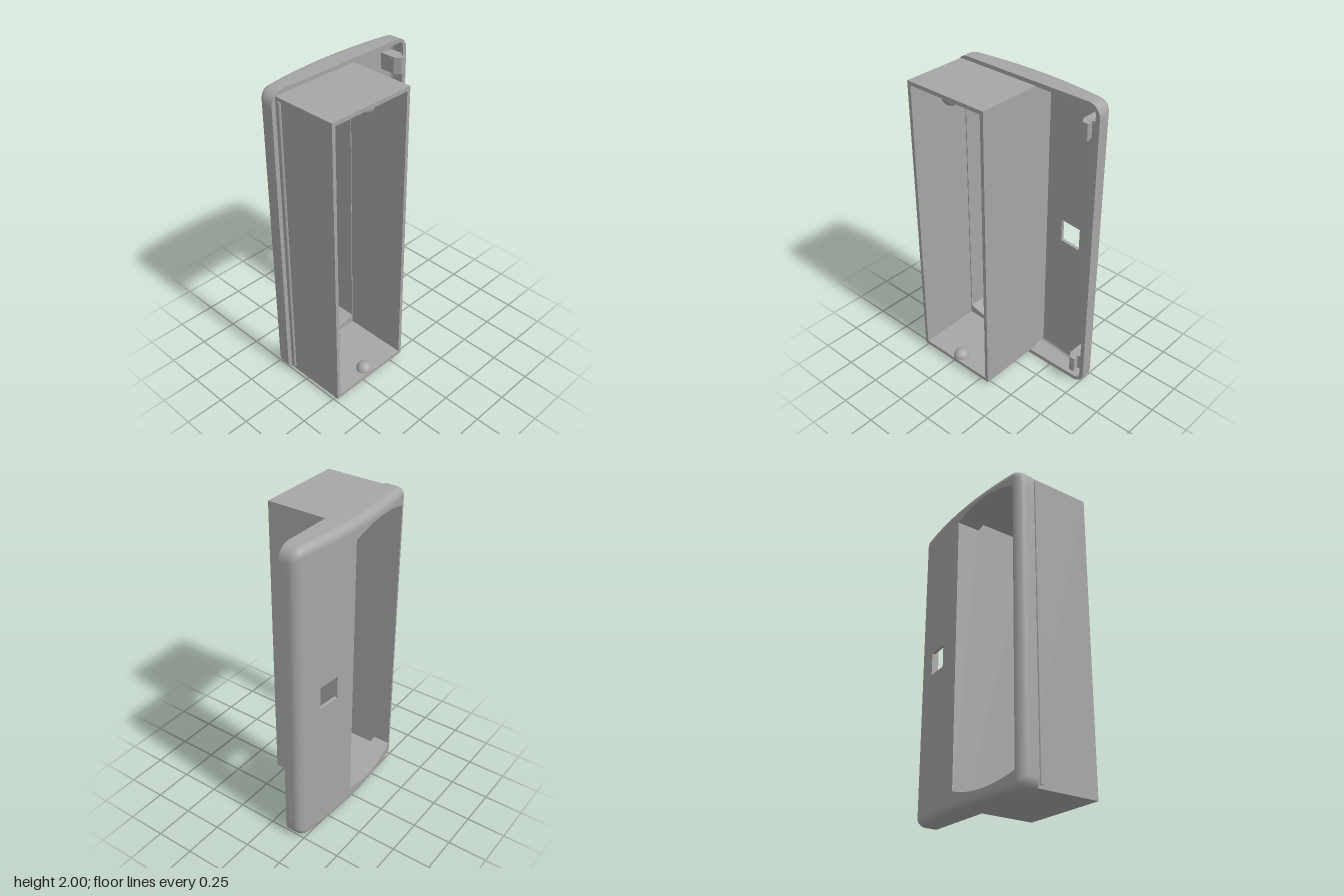
import * as THREE from 'three';
import { mergeGeometries, toCreasedNormals } from 'three/addons/utils/BufferGeometryUtils.js';

const HALF_W = 0.528, RIM_Z = -0.135, SKIN = 0.022, FILLET = 0.05;
const arc = x => -0.292 + 0.042 * (x / 0.49) ** 2; // curved back of the plate

// Rounded rectangle loop, inset by d, counter-clockwise from the front
function loop(d) {
  const r = Math.max(0, 0.08 - 1.6 * d), w = HALF_W - d, h = 1 - d, pts = [];
  const corners = [[1, -1], [1, 1], [-1, 1], [-1, -1]];
  corners.forEach(([sx, sy], k) => {
    const cx = sx * (w - r), cy = sy * (h - r);
    for (let i = 0; i <= 8; i++) {
      const a = (k - 1 + i / 8) * Math.PI / 2;
      pts.push([cx + r * Math.cos(a), 1 + cy + r * Math.sin(a)]);
    }
    const [nx, ny] = corners[(k + 1) % 4];
    const [px, py] = pts[pts.length - 1];
    const end = (k + 1) * Math.PI / 2 - Math.PI / 2;
    const qx = nx * (w - r) + r * Math.cos(end), qy = 1 + ny * (h - r) + r * Math.sin(end);
    for (let i = 1; i < 20; i++) pts.push([px + (qx - px) * i / 20, py + (qy - py) * i / 20]);
  });
  return pts;
}

// Rim swept from the inner skin, over the front lip, to the filleted back
function rimGeometry() {
  const stations = [];
  for (let i = 0; i <= 5; i++) {
    const a = i / 5 * Math.PI / 2;
    stations.push([0.05 - 0.022 * Math.sin(a), x => arc(x) + SKIN + 0.022 * (1 - Math.cos(a))]);
  }
  stations.push([0.028, () => RIM_Z], [0, () => RIM_Z]);
  for (let i = 0; i <= 8; i++) {
    const a = i / 8 * Math.PI / 2;
    stations.push([FILLET * (1 - Math.cos(a)), x => arc(x) + FILLET * (1 - Math.sin(a))]);
  }
  const pos = [], idx = [];
  let n = 0;
  stations.forEach(([d, z], j) => {
    const pts = loop(d);
    n = pts.length;
    pts.forEach(([x, y]) => pos.push(x, y, z(x)));
    if (j === 0) return;
    for (let i = 0; i < n; i++) {
      const a = (j - 1) * n + i, b = (j - 1) * n + (i + 1) % n, c = a + n, e = b + n;
      idx.push(a, c, b, b, c, e);
    }
  });
  const g = new THREE.BufferGeometry();
  g.setAttribute('position', new THREE.Float32BufferAttribute(pos, 3));
  g.setIndex(idx);
  return toCreasedNormals(g, 0.6);
}

// Slab between x0 and x1 whose back follows the arc
function panel(x0, x1, lo, hi, front, n = 8) {
  const g = new THREE.BoxGeometry(1, 1, 1, n, 1, 1), p = g.attributes.position;
  for (let i = 0; i < p.count; i++) {
    const x = x0 + (p.getX(i) + 0.5) * (x1 - x0);
    p.setXYZ(i, x, p.getY(i) < 0 ? lo(x) : hi(x), p.getZ(i) < 0 ? arc(x) : front(x));
  }
  return g;
}

export function createModel() {
  const model = new THREE.Group();
  const grey = new THREE.MeshStandardMaterial({ color: 0xa6a6a6 });
  grey.name = 'grey plastic';
  const add = (name, geometry, x = 0, y = 0, z = 0) => {
    const m = new THREE.Mesh(geometry, grey);
    m.name = name;
    m.position.set(x, y, z);
    model.add(m);
    return m;
  };

  add('plateRim', rimGeometry());

  // Plate skin with the small square hole and a thick frame round the window
  const bottom = () => FILLET, top = () => 2 - FILLET;
  const thin = x => arc(x) + SKIN, thick = () => RIM_Z;
  const edge = HALF_W - FILLET;
  const bow = x => 0.932 - 0.045 * ((x + 0.2075) / 0.2625) ** 2;
  const panels = [
    panel(-edge, -0.47, bottom, top, thick, 1),
    panel(-0.47, 0.055, bottom, x => 1.002 - bow(x), thick, 28),
    panel(-0.47, 0.055, x => 1.002 + bow(x), top, thick, 28),
    panel(0.055, 0.083, bottom, top, thick, 2),
    panel(0.083, 0.205, bottom, top, thin),
    panel(0.205, 0.355, bottom, () => 0.93, thin),
    panel(0.205, 0.355, () => 1.08, top, thin),
    panel(0.355, edge, bottom, top, thin),
  ];
  add('plateSkin', toCreasedNormals(mergeGeometries(panels), 0.4));

  // Open rectangular sleeve in front of the window
  const rect = (P, x0, y0, x1, y1) => {
    const s = new P();
    s.moveTo(x0, y0); s.lineTo(x1, y0); s.lineTo(x1, y1); s.lineTo(x0, y1); s.closePath();
    return s;
  };
  const sleeve = rect(THREE.Shape, -0.5, 0.03, 0.083, 1.975);
  sleeve.holes.push(rect(THREE.Path, -0.477, 0.054, 0.06, 1.951));
  add('sleeve', new THREE.ExtrudeGeometry(sleeve, { depth: 0.49, bevelEnabled: false }), 0, 0, -0.2);

  // Snap ridge along the sleeve side
  add('sleeveRidge', new THREE.CylinderGeometry(0.011, 0.011, 1.9, 16), -0.5, 1.002, -0.103);

  // Locating domes inside the sleeve mouth
  const dome = () => new THREE.SphereGeometry(0.052, 32, 12, 0, Math.PI * 2, 0, Math.PI / 2);
  add('lowerDome', dome(), -0.2085, 0.053, 0.237);
  add('upperDome', dome(), -0.2085, 1.952, 0.237).rotation.x = Math.PI;

  // Snap clips on the free side, each with a rounded bead
  const clip = new THREE.Shape([[0.42, 0.245], [0.42, 0.135], [0.445, 0.095], [0.475, 0.095],
    [0.475, 0.142], [0.505, 0.142], [0.505, 0.23]].map(([x, y]) => new THREE.Vector2(x, y)));
  for (const [name, y] of [['lowerClip', 0.11], ['upperClip', 1.79]]) {
    const g = new THREE.ExtrudeGeometry(clip, { depth: 0.104, bevelEnabled: false });
    add(name, g.rotateX(-Math.PI / 2), 0, y, 0);
    add(name + 'Bead', new THREE.CylinderGeometry(0.01, 0.01, 0.104, 16), 0.475, y + 0.052, -0.105);
  }
  return model;
}
